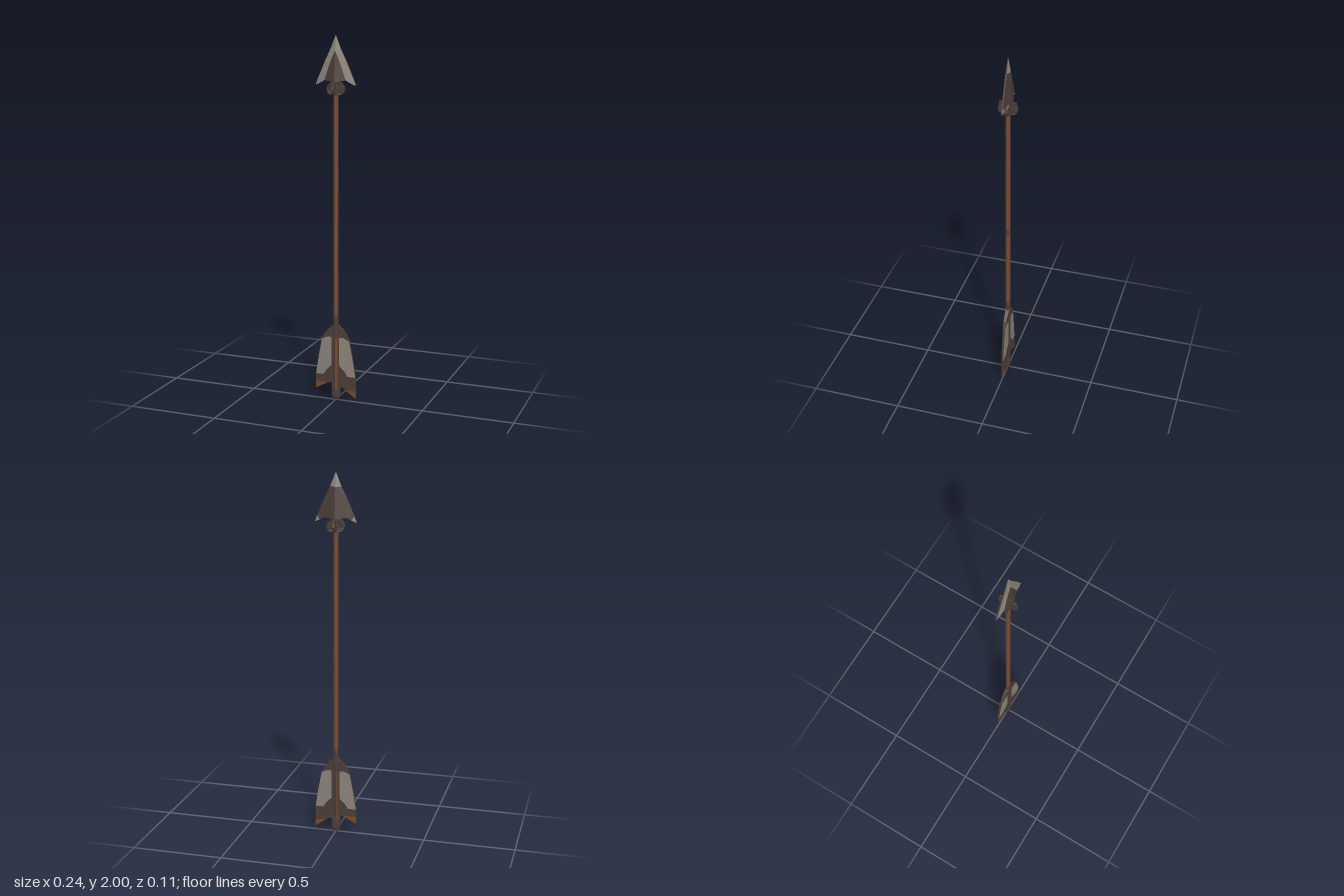
import * as THREE from 'three';

const mat = (name, color, flatShading = true) => {
  const m = new THREE.MeshStandardMaterial({ color, flatShading });
  m.name = name;
  return m;
};

export function createModel() {
  const wood = mat('reddish wood', 0x744a36, false);
  const dark = mat('dark brown', 0x4b3d38);
  const grey = mat('worn grey', 0x8c847b);
  const rust = mat('rust brown', 0x784829);

  const root = new THREE.Group();
  root.name = 'arrow';
  const add = (parent, name, geo, material, y = 0) => {
    const m = new THREE.Mesh(geo, material);
    m.name = name;
    m.position.y = y;
    parent.add(m);
    return m;
  };
  const group = (name) => {
    const g = new THREE.Group();
    g.name = name;
    root.add(g);
    return g;
  };

  // Flat polygon panels, fanned, given counter-clockwise and mirrored by sx / sz
  const panels = (polys, sx, sz) => {
    const pos = [];
    for (const p of polys) {
      for (let i = 1; i < p.length - 1; i++) {
        const tri = [p[0], p[i], p[i + 1]];
        if (sx * sz < 0) tri.reverse();
        for (const [x, y, z] of tri) pos.push(x * sx, y, z * sz);
      }
    }
    const g = new THREE.BufferGeometry();
    g.setAttribute('position', new THREE.Float32BufferAttribute(pos, 3));
    g.computeVertexNormals();
    return g;
  };

  // Extruded outline whose half thickness follows a rule
  const slab = (pts, half) => {
    const g = new THREE.ExtrudeGeometry(new THREE.Shape(pts.map(([x, y]) => new THREE.Vector2(x, y))),
      { depth: 1, bevelEnabled: false });
    const p = g.attributes.position;
    for (let i = 0; i < p.count; i++) {
      p.setZ(i, (p.getZ(i) > 0.5 ? 1 : -1) * half(Math.abs(p.getX(i))));
    }
    g.computeVertexNormals();
    return g;
  };

  // Shaft
  const shaft = group('shaft');
  add(shaft, 'shaftRod', new THREE.CylinderGeometry(0.013, 0.013, 1.32, 16), wood, 1.08);
  add(shaft, 'shaftChip', new THREE.CylinderGeometry(0.0145, 0.0145, 0.03, 4, 1, true, 0.9, 1.3), dark, 0.965);

  // Arrowhead: one quarter mirrored four times, painted differently front and back
  const head = group('arrowhead');
  const e = 0.004;
  const T = [0, 2, 0.001], A = [0, 1.92, 0.012], C = [0, 1.755, 0.029];
  const M = [0.026, 1.86, 0.0125], D = [0.06, 1.765, 0.014];
  const B = [0.113, 1.738, e], E = [0.058, 1.868, e];
  const F = [0.03, 1.925, e], G = [0.085, 1.75, 0.0095], H = [0.1, 1.772, e];
  const flat = ([x, y]) => [x, y, 0];
  const rim = [T, F, E, H, B, G, D, C];
  const rimPolys = rim.slice(1).map((q, i) => [rim[i], q, flat(q), flat(rim[i])]);
  const ridge = [[A, C, M], [M, C, D]];
  const flank = [[A, M, E, F], [M, D, E], [E, D, H], [D, G, H]];
  const tip = [T, A, F], barb = [G, B, H];
  for (const sx of [1, -1]) {
    add(head, 'headFrontRidge', panels(ridge, sx, 1), dark);
    add(head, 'headFrontEdge', panels([tip, ...flank, barb], sx, 1), grey);
    add(head, 'headBackBlade', panels([...ridge, ...flank], sx, -1), dark);
    add(head, 'headBackTip', panels([tip, barb], sx, -1), grey);
    for (const sz of [1, -1]) add(head, 'headRim', panels(rimPolys, sx, sz), dark);
  }

  // Crossed binding lugs below the head
  const binding = group('binding');
  const lug = (top, w) => [
    [-0.03, 1.69], [0.03, 1.69], [w - 0.008, 1.695], [w, 1.715], [w - 0.006, 1.735], [top, 1.755],
    [-top, 1.755], [-w + 0.006, 1.735], [-w, 1.715], [-w + 0.008, 1.695]];
  add(binding, 'sideLugs', slab(lug(0.024, 0.05), (x) => 0.022 - 0.22 * x), dark);
  add(binding, 'frontLugs', slab(lug(0.045, 0.054), (x) => 0.014 - 0.17 * x), dark).rotation.y = Math.PI / 2;
  add(binding, 'bindingCore', new THREE.CylinderGeometry(0.022, 0.017, 0.085, 8), dark, 1.725);

  // Flat vanes, thinning outwards; pieces share borders and have dark outer edges
  const vanes = group('fletching');
  const thin = (x) => 0.011 - 0.05 * x;
  const buildVane = (s, tipY, innerY, name) => {
    const piece = (part, material, pts) =>
      add(vanes, name + part, slab(pts.map(([x, y]) => [x * s, y]), thin), [material, dark]);
    piece('Shoulder', dark, [[0, 0.35], [0.022, 0.36], [0.045, 0.362], [0.08, 0.345],
      [0.062, 0.382], [0.04, 0.408], [0.016, 0.43], [0, 0.44]]);
    piece('Root', dark, [[0, innerY], [0.022, innerY], [0.022, 0.36], [0, 0.35]]);
    piece('Panel', grey, [[0.022, 0.2], [0.055, 0.168], [0.07, 0.142], [0.116, 0.14],
      [0.1, 0.24], [0.08, 0.345], [0.045, 0.362], [0.022, 0.36]]);
    piece('Lower', dark, [[0.022, innerY], [0.045, innerY - 0.005], [0.06, tipY + 0.045], [0.118, tipY + 0.042],
      [0.116, 0.14], [0.07, 0.142], [0.055, 0.168], [0.022, 0.2]]);
    piece('Tip', rust, [[0.045, innerY - 0.005], [0.07, (innerY + tipY) / 2 + 0.005], [0.118, tipY],
      [0.118, tipY + 0.042], [0.06, tipY + 0.045]]);
  };
  buildVane(1, 0.02, 0.08, 'leftVane');
  buildVane(-1, 0.055, 0.1, 'rightVane');

  // Centre rib with rust streaks, collar and nock
  const tail = group('tail');
  add(tail, 'rib', new THREE.CylinderGeometry(0.014, 0.014, 0.4, 8), dark, 0.24);
  for (const start of [0, Math.PI + 0.4]) {
    add(tail, 'ribStreak', new THREE.CylinderGeometry(0.0165, 0.0165, 0.3, 3, 1, true, start, 1.1), rust, 0.21);
  }
  add(tail, 'collar', new THREE.CylinderGeometry(0.0135, 0.0155, 0.1, 8), dark, 0.44);
  add(tail, 'nock', new THREE.CapsuleGeometry(0.027, 0.05, 3, 8), dark, 0.052).scale.z = 0.55;
  return root;
}
